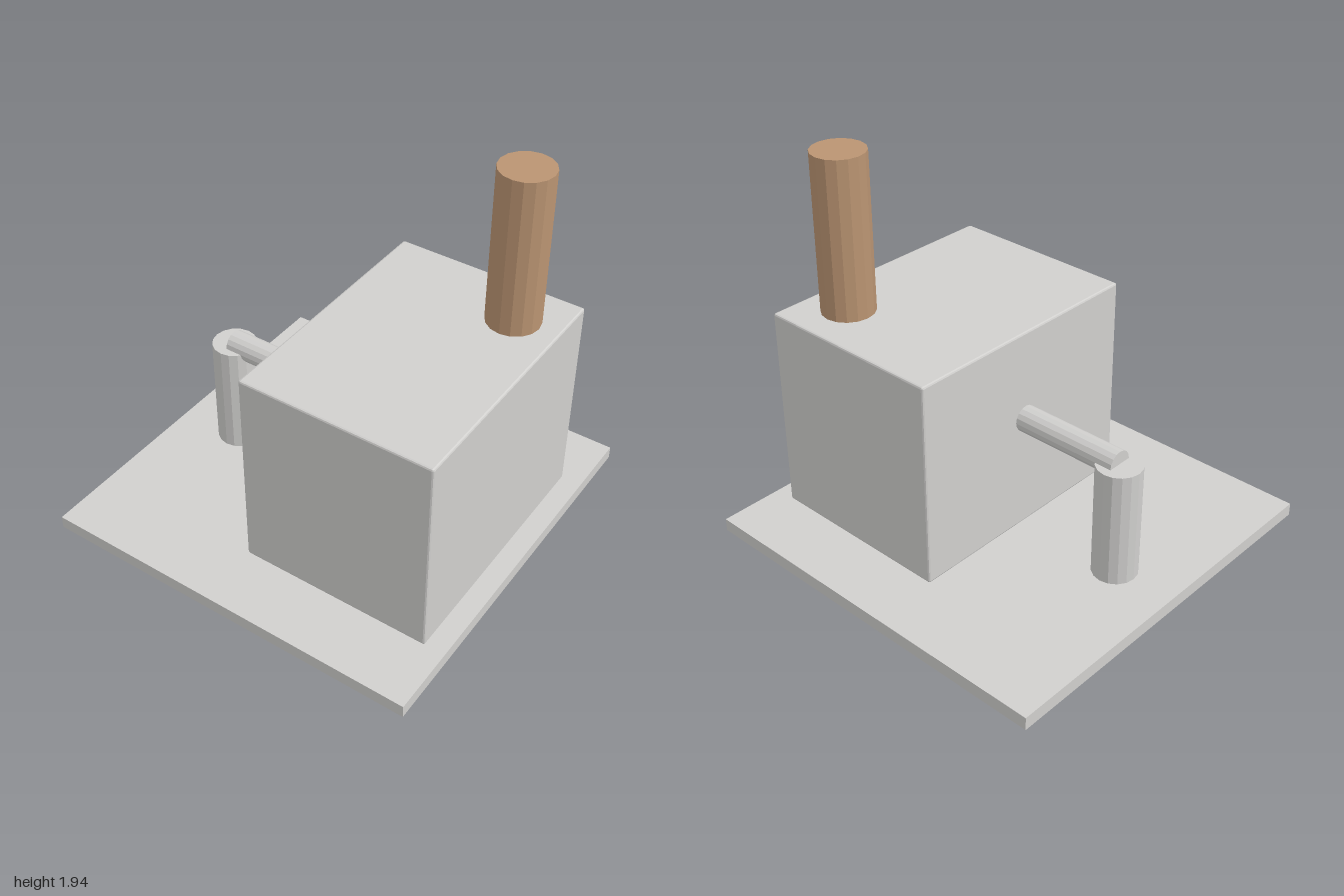
import * as THREE from 'three';
import { RoundedBoxGeometry } from 'three/addons/geometries/RoundedBoxGeometry.js';

export function createModel() {
  const model = new THREE.Group();
  model.name = 'furnaceUnit';

  const makeMaterial = (name, color) => {
    const material = new THREE.MeshStandardMaterial({ color, flatShading: true });
    material.name = name;
    return material;
  };
  const grey = makeMaterial('lightGrey', 0xd0cfcd);
  const copper = makeMaterial('copperBrown', 0xba9472);

  const add = (name, geometry, material, x, y, z) => {
    const mesh = new THREE.Mesh(geometry, material);
    mesh.name = name;
    mesh.position.set(x, y, z);
    model.add(mesh);
    return mesh;
  };
  const tube = (radius, length) => new THREE.CylinderGeometry(radius, radius, length, 16);

  // Square floor slab
  add('basePlate', new THREE.BoxGeometry(2, 0.067, 2), grey, 0, 0.0335, 0);

  // Main block with finely bevelled edges
  add('body', new RoundedBoxGeometry(0.996, 1.067, 1.33, 1, 0.01), grey, 0.399, 0.6005, 0);

  // Chimney on the back left corner of the block
  add('chimney', tube(0.133, 0.805), copper, 0.665, 1.5355, -0.4);

  // Standing post, and the pipe joining it to the block
  add('post', tube(0.1135, 0.604), grey, -0.667, 0.366, 0);
  const pipe = add('pipe', tube(0.067, 0.667), grey, -0.3335, 0.668, 0);
  pipe.rotation.z = Math.PI / 2;

  return model;
}
